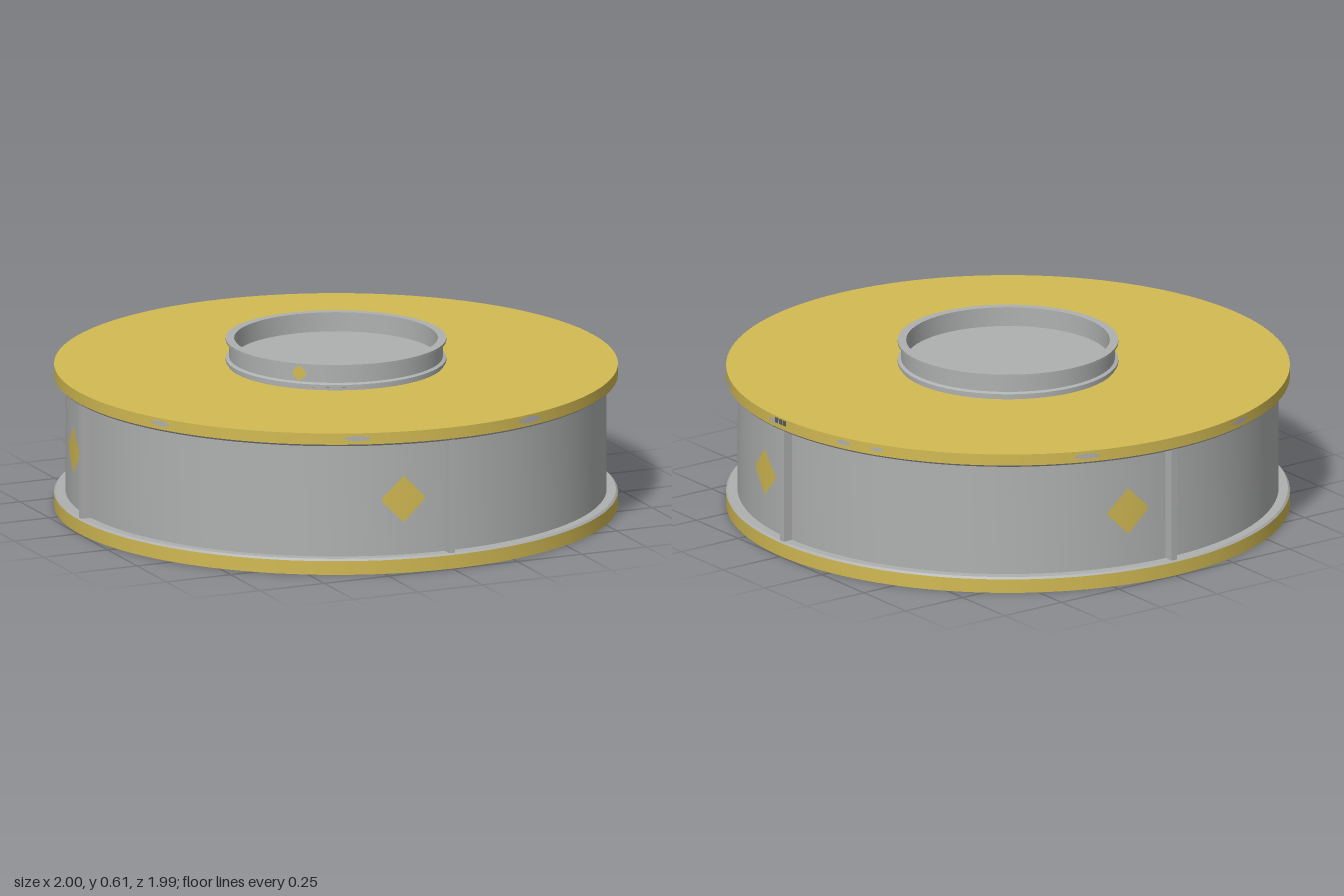
import * as THREE from 'three';
import { toCreasedNormals } from 'three/addons/utils/BufferGeometryUtils.js';

const yellow = new THREE.MeshStandardMaterial({ name: 'ochre paint', color: 0xd2ba53, side: THREE.DoubleSide });
const grey = new THREE.MeshStandardMaterial({ name: 'bare metal', color: 0xafb1b0, side: THREE.DoubleSide });
const dark = new THREE.MeshStandardMaterial({ name: 'dark metal', color: 0x5a5b5b });

const R = 0.997; // flange radius
const WALL = 0.957; // drum wall radius
const rad = THREE.MathUtils.degToRad;

export function createModel() {
  const model = new THREE.Group();
  model.name = 'drum';

  const add = (name, geometry, material, parent = model) => {
    const mesh = new THREE.Mesh(geometry, material);
    mesh.name = name;
    parent.add(mesh);
    return mesh;
  };

  // Turned part with crisp edges; profile runs counter-clockwise in (radius, y)
  const turned = (name, profile, material) => {
    const points = profile.map(([r, y]) => new THREE.Vector2(r, y));
    return add(name, toCreasedNormals(new THREE.LatheGeometry(points, 128), 0.4), material);
  };

  // Thin plate wrapped on a cylinder; end is the height left at its two tips
  const wrapped = (name, radius, degrees, y, w, h, end, material) => {
    const g = new THREE.PlaneGeometry(w, h, 8, 1);
    const p = g.attributes.position;
    for (let i = 0; i < p.count; i++) {
      const x = p.getX(i);
      const taper = 1 - (1 - end) * Math.abs(x) / (w / 2);
      const a = rad(degrees) + x / radius;
      p.setXYZ(i, radius * Math.sin(a), y + p.getY(i) * taper, radius * Math.cos(a));
    }
    g.computeVertexNormals();
    return add(name, g, material);
  };

  // Painted flanges, drum wall between them, and the recess underneath
  turned('bottomFlange', [[0.295, 0], [R, 0], [R, 0.05]], yellow);
  turned('drumWall', [[R, 0.05], [0.99, 0.057], [WALL, 0.057], [WALL, 0.468], [0.99, 0.468], [R, 0.475]], grey);
  turned('topFlange', [[R, 0.475], [R, 0.516], [0.37, 0.516]], yellow);
  turned('bottomRecess', [[0, 0.065], [0.295, 0.065], [0.295, 0]], grey);

  // Neck with a foot ring, rolled lip and sunken floor
  turned('neck', [
    [0.37, 0.516], [0.383, 0.516], [0.383, 0.525], [0.39, 0.527], [0.39, 0.537], [0.378, 0.542],
    [0.378, 0.598], [0.39, 0.601], [0.39, 0.61], [0.36, 0.61], [0.36, 0.54], [0, 0.54],
  ], grey);
  wrapped('neckMark', 0.3795, -44.5, 0.572, 0.05, 0.06, 0.2, yellow);

  // Four ribs, each with a painted diamond beside it
  for (let i = 0; i < 4; i++) {
    const rib = add('rib', new THREE.BoxGeometry(0.024, 0.413, 0.05), grey);
    const a = i * Math.PI / 2;
    rib.position.set(Math.sin(a) * 0.967, 0.2625, Math.cos(a) * 0.967);
    rib.rotation.y = a;
    wrapped('diamond', WALL + 0.002, i * 90 - 10, 0.26, 0.155, 0.17, 0.08, yellow);
  }

  // Worn patches on the top flange rim: angle, width, height
  [
    [-63, 0.08, 0.02], [-20, 0.09, 0.02], [19, 0.1, 0.026], [63, 0.08, 0.022], [88, 0.07, 0.02],
    [108, 0.06, 0.02], [116, 0.05, 0.015], [160, 0.09, 0.022], [199, 0.08, 0.02], [243, 0.08, 0.022],
  ].forEach(([deg, w, h]) => wrapped('wornPatch', R + 0.001, deg, 0.497, w, h, 0.4, grey));

  // Small catch on the left edge
  const latch = new THREE.Group();
  latch.name = 'latch';
  for (const z of [-0.023, 0, 0.023]) {
    add('latchTooth', new THREE.BoxGeometry(0.01, 0.018, 0.016), dark, latch).position.set(0.995, 0.502, z);
  }
  model.add(latch);

  return model;
}
